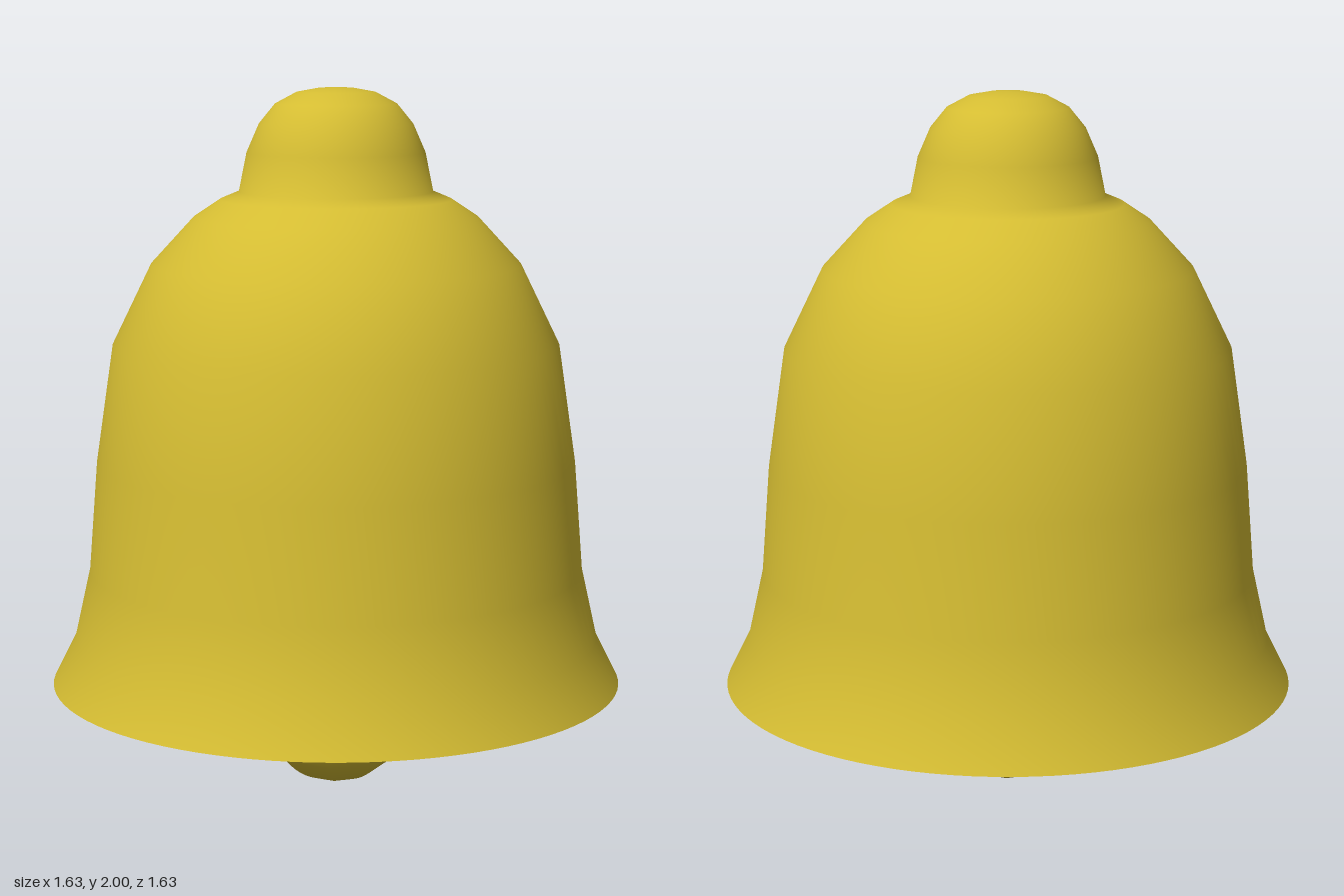
import * as THREE from 'three';

export function createModel() {
  const model = new THREE.Group();
  model.name = 'bell';

  const brass = new THREE.MeshStandardMaterial({ color: 0xd4bc32, side: THREE.DoubleSide });
  brass.name = 'brass yellow';

  // Thin open shell: flared rim, waist, shoulder and crown knob in one smooth profile
  const profile = [
    [0.815, 0.31], [0.75, 0.44], [0.705, 0.64], [0.68, 0.95], [0.63, 1.285],
    [0.52, 1.51], [0.4, 1.64], [0.325, 1.69], [0.272, 1.712],
    [0.25, 1.82], [0.215, 1.9], [0.17, 1.955], [0.11, 1.987], [0.05, 1.998], [0, 2],
  ].map(([r, y]) => new THREE.Vector2(r, y));
  const shell = new THREE.Mesh(new THREE.LatheGeometry(profile, 96), brass);
  shell.name = 'bellShell';
  model.add(shell);

  // Ball clapper with few meridians and smooth arcs, hanging below the rim
  const clapper = new THREE.Mesh(new THREE.SphereGeometry(0.245, 8, 40), brass);
  clapper.name = 'clapper';
  clapper.position.y = 0.245;
  model.add(clapper);

  return model;
}
